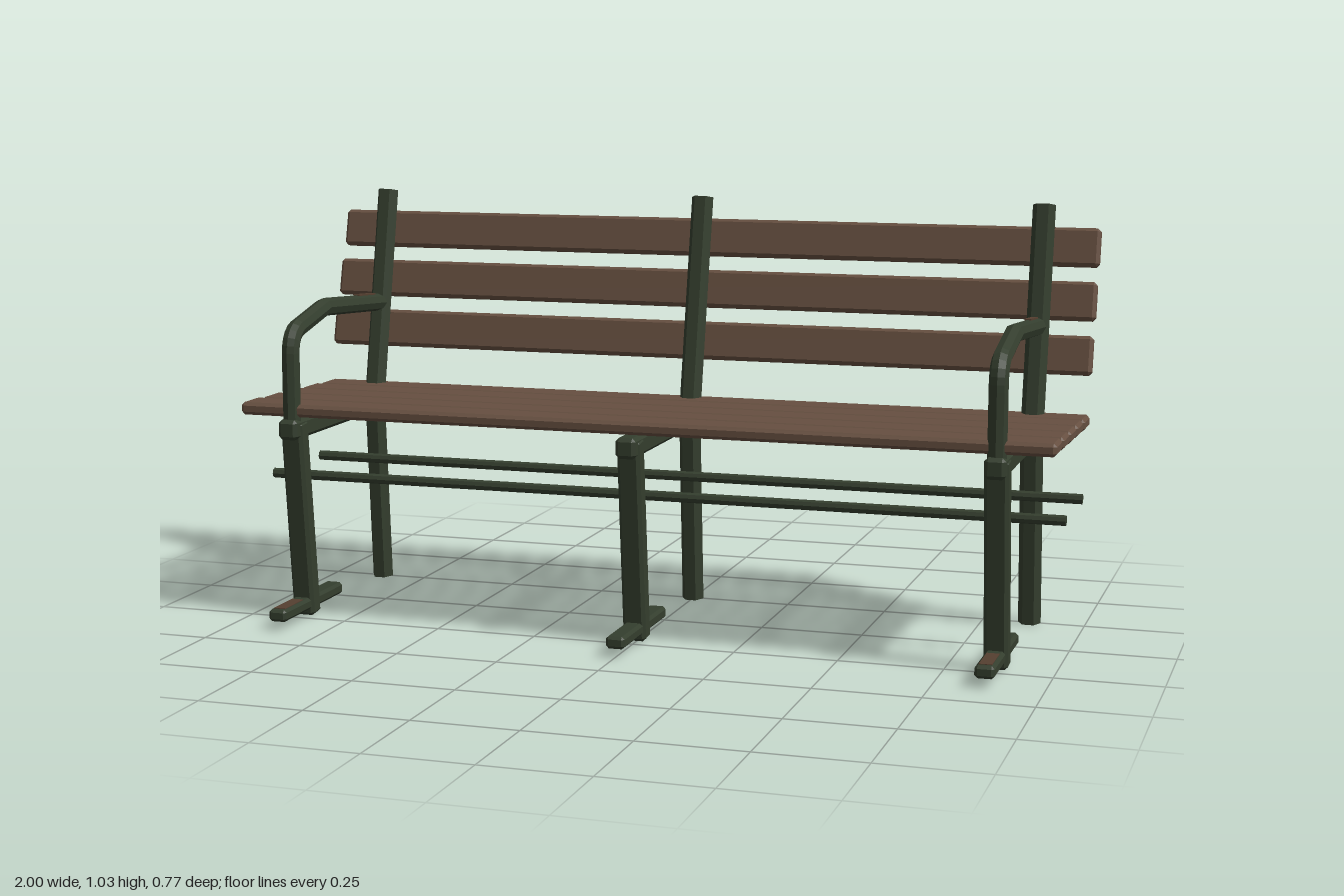
import * as THREE from 'three';
import { ConvexGeometry } from 'three/addons/geometries/ConvexGeometry.js';

const iron = new THREE.MeshStandardMaterial({ name: 'dark green iron', color: 0x343e2e, flatShading: true });
const wood = new THREE.MeshStandardMaterial({ name: 'brown wood', color: 0x664f40, flatShading: true });
const rust = new THREE.MeshStandardMaterial({ name: 'rust', color: 0x553f30, flatShading: true });

// Box with every edge cut at 45 degrees
function chamferBox(w, h, d, b) {
  const pts = [];
  for (const x of [-w / 2, w / 2])
    for (const y of [-h / 2, h / 2])
      for (const z of [-d / 2, d / 2]) {
        const ix = x - Math.sign(x) * b, iy = y - Math.sign(y) * b, iz = z - Math.sign(z) * b;
        pts.push(new THREE.Vector3(x, iy, iz), new THREE.Vector3(ix, y, iz), new THREE.Vector3(ix, iy, z));
      }
  return new ConvexGeometry(pts);
}

function add(parent, name, geometry, material, x, y, z, tilt = 0) {
  const mesh = new THREE.Mesh(geometry, material);
  mesh.name = name;
  mesh.position.set(x, y, z);
  mesh.rotation.x = tilt;
  parent.add(mesh);
  return mesh;
}

// Upright member between two [z, y] points; makeGeometry receives the length
function strut(parent, name, [z0, y0], [z1, y1], makeGeometry) {
  const dz = z1 - z0, dy = y1 - y0;
  add(parent, name, makeGeometry(Math.hypot(dz, dy)), iron,
    0, (y0 + y1) / 2, (z0 + z1) / 2, Math.atan2(dz, dy));
}

const hexBar = (length) => new THREE.CylinderGeometry(0.028, 0.028, length, 6).rotateY(Math.PI / 2);
const squareBar = (length) => chamferBox(0.056, length, 0.047, 0.008);

// Bent armrest rail in the side plane
function armGeometry() {
  const v = (z, y) => new THREE.Vector3(0, y, z);
  const path = new THREE.CurvePath();
  path.add(new THREE.LineCurve3(v(0.275, 0.5), v(0.275, 0.66)));
  path.add(new THREE.CubicBezierCurve3(v(0.275, 0.66), v(0.275, 0.7), v(0.26, 0.722), v(0.22, 0.728)));
  path.add(new THREE.LineCurve3(v(0.22, 0.728), v(0.085, 0.76)));
  path.add(new THREE.LineCurve3(v(0.085, 0.76), v(-0.25, 0.736)));
  return new THREE.TubeGeometry(path, 48, 0.0225, 8, false);
}

function createFrame(x, hasArm) {
  const frame = new THREE.Group();
  frame.name = hasArm ? 'endFrame' : 'middleFrame';
  frame.position.x = x;
  strut(frame, 'frontLeg', [0.216, 0.007], [0.265, 0.5], squareBar);
  strut(frame, 'backLeg', [-0.245, 0.003], [-0.214, 0.48], hexBar);
  strut(frame, 'backPost', [-0.212, 0.48], [-0.323, 1.025], hexBar);
  add(frame, 'seatBar', chamferBox(0.05, 0.05, 0.62, 0.009), iron, 0, 0.482, -0.003);
  add(frame, 'foot', chamferBox(0.046, 0.03, 0.33, 0.007), iron, 0, 0.037, 0.22);
  if (hasArm) {
    add(frame, 'armrest', armGeometry(), iron, 0, 0, 0);
    // Worn patches on the foot and the arm
    add(frame, 'footWear', new THREE.BoxGeometry(0.03, 0.002, 0.1), rust, 0, 0.0525, 0.32);
    add(frame, 'armWear', new THREE.BoxGeometry(0.016, 0.004, 0.1), rust, 0, 0.7653, -0.16, -0.07);
  }
  return frame;
}

export function createModel() {
  const bench = new THREE.Group();
  bench.name = 'bench';

  for (const x of [-0.866, 0, 0.866]) bench.add(createFrame(x, x !== 0));

  // Seat slats step down slightly towards the back
  for (let i = 0; i < 5; i++)
    add(bench, 'seatSlat', chamferBox(2, 0.031, 0.09, 0.008), wood, 0, 0.527 - i * 0.0037, 0.241 - i * 0.111);

  // Backrest slats lean with the posts, fixed behind them
  for (let i = 0; i < 3; i++)
    add(bench, 'backSlat', chamferBox(2, 0.095, 0.031, 0.008), wood, 0, 0.666 + i * 0.127, -0.272 - i * 0.0425, -0.24);

  // Tie rods under the seat
  for (const z of [0.11, -0.157])
    add(bench, 'tieRod', new THREE.CylinderGeometry(0.0125, 0.0125, 2, 8).rotateZ(Math.PI / 2), iron, 0, 0.336, z);

  return bench;
}
